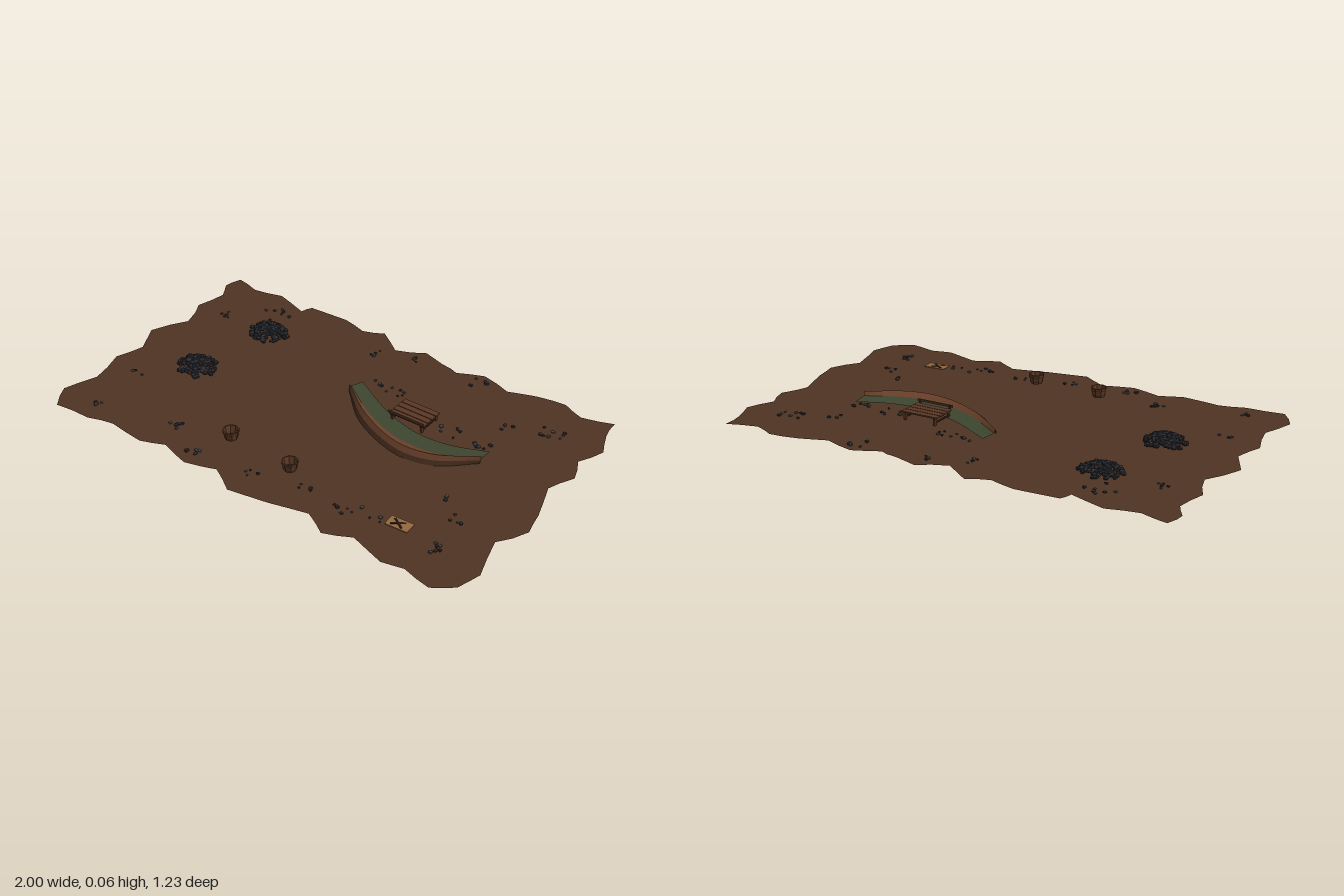
import * as THREE from 'three';
import { mergeGeometries } from 'three/addons/utils/BufferGeometryUtils.js';

const mat = (name, color, extra = {}) => {
  const m = new THREE.MeshStandardMaterial({ color, flatShading: true, ...extra });
  m.name = name;
  return m;
};

export function createModel() {
  const group = new THREE.Group();
  const both = { side: THREE.DoubleSide };
  const M = {
    earth: mat('earth', 0x4f3323, both),
    green: mat('murky green', 0x3d4630, both),
    wood: mat('wood', 0x5b3824, both),
    bank: mat('bank wood', 0x6b402a, both),
    darkWood: mat('dark wood', 0x3a2417, both),
    coal: mat('coal', 0x2c2d33),
    stone: mat('stone', 0x45484a),
    paper: mat('parchment', 0x94683f),
    ink: mat('ink', 0x24160f),
  };
  let seed = 7;
  const rnd = () => (seed = (seed * 16807) % 2147483647) / 2147483647;
  const add = (name, geo, m, parent = group, x = 0, y = 0, z = 0) => {
    const mesh = new THREE.Mesh(geo, m);
    mesh.name = name;
    mesh.position.set(x, y, z);
    parent.add(mesh);
    return mesh;
  };
  const box = (name, w, h, d, m, parent, x, y, z) => add(name, new THREE.BoxGeometry(w, h, d), m, parent, x, y, z);
  const part = (name, x = 0, z = 0) => {
    const g = new THREE.Group();
    g.name = name;
    g.position.set(x, 0, z);
    group.add(g);
    return g;
  };

  // Ground sheet with a ragged edge: x, z in hundredths
  const edge = [
    -96, -60, -85, -57, -72, -60, -57, -55, -55, -60, -37, -61, -26, -58, -17, -62, -6, -54, 6, -60, 16, -57, 24, -55,
    35, -60, 48, -56, 59, -60, 72, -62, 81, -58, 94, -62, 95, -53, 99, -43, 94, -32, 98, -22, 93, -11, 98, 5, 100, 15,
    93, 27, 98, 45, 95, 55, 87, 61, 75, 58, 66, 60, 51, 55, 40, 60, 30, 54, 14, 58, -3, 61, -14, 54, -27, 58,
    -40, 54, -50, 58, -66, 56, -77, 59, -93, 60, -99, 50, -94, 36, -98, 20, -94, 8, -100, -4, -92, -19, -97, -32, -94, -45, -98, -52,
  ];
  const outline = [];
  for (let i = 0; i < edge.length; i += 2) {
    const j = (i + 2) % edge.length;
    outline.push(new THREE.Vector2(edge[i] / 100, -edge[i + 1] / 100));
    outline.push(new THREE.Vector2((edge[i] + edge[j]) / 200 + (rnd() - 0.5) * 0.012, -(edge[i + 1] + edge[j + 1]) / 200 + (rnd() - 0.5) * 0.012));
  }
  add('ground', new THREE.ShapeGeometry(new THREE.Shape(outline)).rotateX(-Math.PI / 2), M.earth);

  // Crescent pond: strips stretched between curves running left to right
  const N = 20;
  const curve = (pts) => new THREE.CatmullRomCurve3(pts.map((p) => new THREE.Vector3(...p))).getPoints(N);
  const strip = (name, back, front, m) => {
    const pos = [], idx = [];
    for (let i = 0; i <= N; i++) {
      pos.push(...back[i].toArray(), ...front[i].toArray());
      if (i < N) idx.push(2 * i, 2 * i + 1, 2 * i + 2, 2 * i + 1, 2 * i + 3, 2 * i + 2);
    }
    const g = new THREE.BufferGeometry();
    g.setAttribute('position', new THREE.Float32BufferAttribute(pos, 3));
    g.setIndex(idx);
    g.computeVertexNormals();
    add(name, g, m);
  };
  const shore = curve([[-0.03, 0.006, -0.26], [0.16, 0.006, -0.155], [0.34, 0.006, -0.1], [0.49, 0.006, -0.11], [0.64, 0.006, -0.165]]);
  const water = curve([[-0.045, 0.012, -0.2], [0.13, 0.012, -0.085], [0.31, 0.012, -0.02], [0.47, 0.012, -0.025], [0.64, 0.012, -0.1]]);
  const ridge = curve([[-0.045, 0.024, -0.19], [0.13, 0.026, -0.06], [0.33, 0.026, 0.018], [0.48, 0.028, 0.005], [0.645, 0.03, -0.095]]);
  const ledge = curve([[-0.045, 0.014, -0.183], [0.13, 0.013, -0.04], [0.35, 0.013, 0.042], [0.49, 0.013, 0.022], [0.645, 0.014, -0.088]]);
  const foot = curve([[-0.042, 0.001, -0.18], [0.12, 0.001, -0.03], [0.36, 0.001, 0.06], [0.51, 0.001, 0.032], [0.645, 0.001, -0.085]]);
  strip('pondSurface', shore, water, M.green);
  strip('bankTop', water, ridge, M.bank);
  strip('bankUpperPlank', ridge, ledge, M.wood);
  strip('bankLowerPlank', ledge, foot, M.darkWood);

  // Slatted bench standing at the pond
  const bench = part('bench', 0.285, -0.17);
  for (let i = 0; i < 4; i++) box('benchSlat', 0.165, 0.006, 0.026, M.wood, bench, 0, 0.034, -0.045 + i * 0.029);
  for (const s of [-1, 1]) {
    box('benchCrossbar', 0.008, 0.007, 0.115, M.darkWood, bench, s * 0.07, 0.028, 0);
    box('benchStretcher', 0.006, 0.005, 0.1, M.darkWood, bench, s * 0.07, 0.011, 0);
    for (const z of [-0.05, 0.05]) box('benchLeg', 0.009, 0.031, 0.009, M.wood, bench, s * 0.07, 0.0155, z);
    box('benchBackPost', 0.008, 0.018, 0.006, M.darkWood, bench, s * 0.07, 0.041, 0.06);
  }
  box('benchBackRail', 0.165, 0.009, 0.006, M.wood, bench, 0, 0.047, 0.062);

  // Open eight-sided buckets with two hoops
  for (const [x, z] of [[-0.208, 0.37], [0.097, 0.39]]) {
    const bucket = part('bucket', x, z);
    const wall = [[0, 0.017], [0.025, 0.017], [0.034, 0.058], [0.029, 0.058], [0.022, 0.022]].map((p) => new THREE.Vector2(...p));
    add('bucketWall', new THREE.LatheGeometry(wall, 8), M.wood, bucket);
    add('bucketInside', new THREE.CircleGeometry(0.023, 8).rotateX(-Math.PI / 2), M.darkWood, bucket, 0, 0.024, 0);
    for (const y of [0.026, 0.047]) {
      const r = 0.025 + (y - 0.017) * 0.22 + 0.0008;
      add('bucketHoop', new THREE.CylinderGeometry(r + 0.0008, r, 0.004, 8, 1, true), M.darkWood, bucket, 0, y, 0);
    }
  }

  // Small irregular stone
  const rock = (x, y, z, r) => {
    const g = new THREE.IcosahedronGeometry(r, 0);
    g.rotateX(rnd() * 6).rotateY(rnd() * 6);
    g.scale(0.8 + rnd() * 0.5, 0.6 + rnd() * 0.25, 0.8 + rnd() * 0.5);
    return g.translate(x, y, z);
  };

  // Domed heaps of coal
  for (const [cx, cz] of [[-0.57, -0.32], [-0.65, 0.06]]) {
    const lumps = [];
    for (let i = 0; i < 130; i++) {
      const t = Math.sqrt((i + 0.5) / 130), a = i * 2.4 + rnd() * 0.5;
      const rad = t * 0.082 * (0.9 + rnd() * 0.2);
      lumps.push(rock(cx + Math.cos(a) * rad, 0.008 + 0.031 * (1 - t * t) * (0.8 + rnd() * 0.3), cz + Math.sin(a) * rad * 0.9, 0.008 + rnd() * 0.005));
    }
    add('coalPile', mergeGeometries(lumps), M.coal);
  }

  // Scattered pebbles: centre x, z, spread and count of each cluster
  const clusters = [
    [-0.63, -0.46, 0.09, 7], [-0.81, -0.33, 0.03, 5], [-0.82, 0.24, 0.03, 4], [-0.81, 0.5, 0.03, 4], [-0.46, 0.42, 0.03, 5],
    [-0.15, -0.48, 0.05, 4], [0.04, -0.52, 0.03, 3], [0.38, -0.52, 0.06, 4], [0.75, -0.4, 0.07, 8], [0.62, -0.34, 0.03, 3],
    [0.59, -0.19, 0.05, 7], [0.43, -0.19, 0.05, 6], [0.13, -0.27, 0.05, 6], [0.02, -0.28, 0.03, 4], [0.65, 0.17, 0.02, 3],
    [0.75, 0.25, 0.03, 4], [0.8, 0.43, 0.04, 6], [0.4, 0.44, 0.06, 6], [0.2, 0.42, 0.04, 5], [0.52, 0.41, 0.03, 3],
    [-0.02, 0.49, 0.03, 4], [-0.29, 0.51, 0.03, 4],
  ];
  const piles = [[], []];
  for (const [x, z, s, n] of clusters) {
    for (let i = 0; i < n; i++) piles[i % 2].push(rock(x + (rnd() * 2 - 1) * s, 0.005, z + (rnd() * 2 - 1) * s * 0.7, 0.005 + rnd() * 0.005));
  }
  add('darkPebbles', mergeGeometries(piles[0]), M.coal);
  add('greyPebbles', mergeGeometries(piles[1]), M.stone);

  // Parchment sheet marked with a cross
  const sheet = part('parchment', 0.602, 0.395);
  box('parchmentSheet', 0.095, 0.003, 0.054, M.paper, sheet, 0, 0.004, 0).rotation.y = 0.06;
  for (const s of [-1, 1]) box('crossMark', 0.06, 0.002, 0.009, M.ink, sheet, -0.005, 0.006, 0).rotation.y = s * 0.6;

  return group;
}
